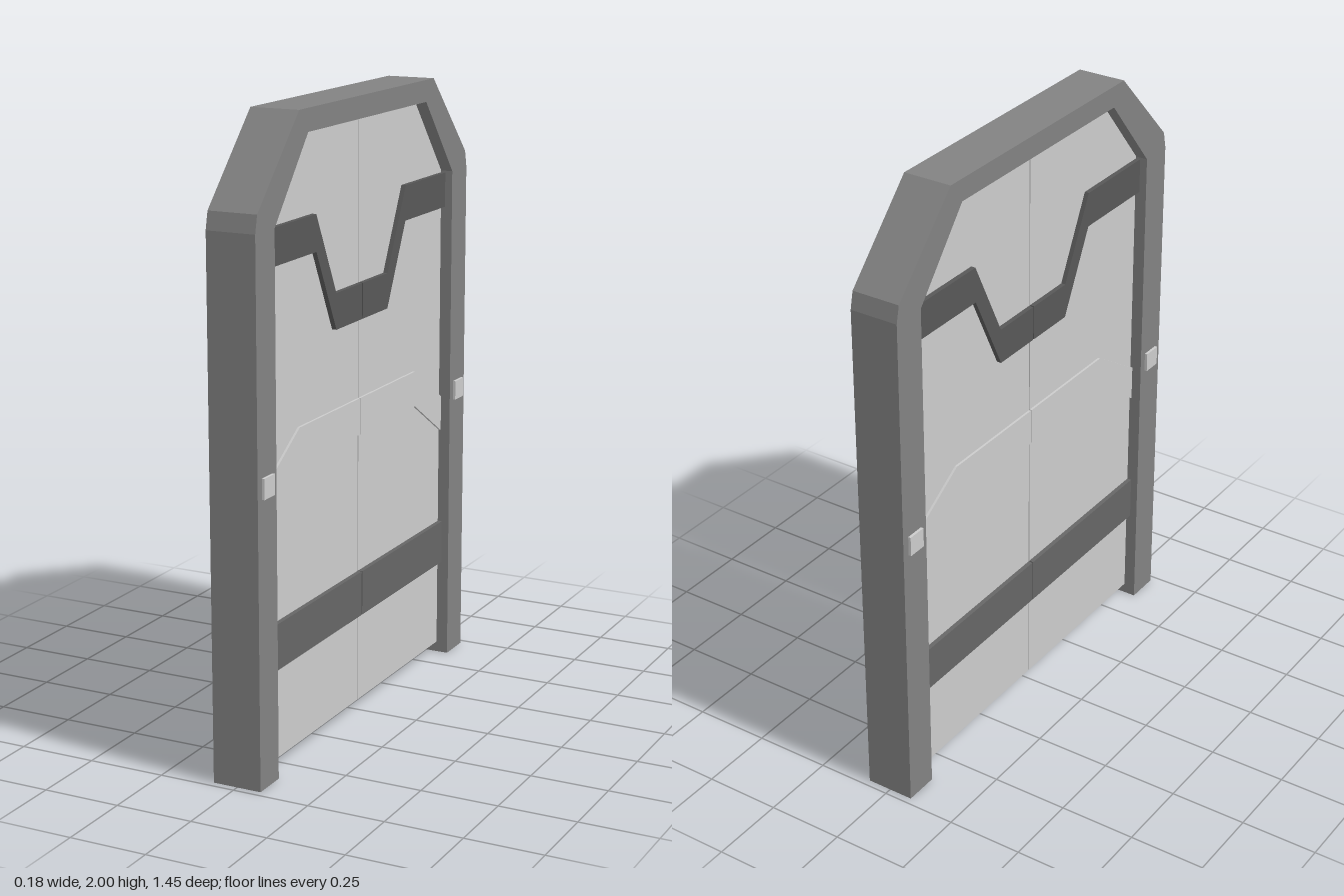
import * as THREE from 'three';

const material = (color) => new THREE.MeshStandardMaterial({ color, flatShading: true });
const panelMat = material(0xcccccc);
const frameMat = material(0x828282);
const barMat = material(0x585858);
const kickMat = material(0x666666);

// Extrudes a [z, y] outline along x, centred on x = 0
function slab(name, points, thickness, mat) {
  const shape = new THREE.Shape(points.map(([z, y]) => new THREE.Vector2(z, y)));
  const geo = new THREE.ExtrudeGeometry(shape, { depth: thickness, bevelEnabled: false });
  geo.translate(0, 0, -thickness / 2);
  geo.rotateY(-Math.PI / 2);
  const mesh = new THREE.Mesh(geo, mat);
  mesh.name = name;
  return mesh;
}

const flip = (points) => points.map(([z, y]) => [-z, y]);

// Band whose lower edge is its upper edge moved straight down
const band = (top, drop) => [...top, ...top.map(([z, y]) => [z, y - drop]).reverse()];

export function createModel() {
  const door = new THREE.Group();
  door.name = 'slidingDoor';

  // Frame: two posts joined by a chamfered arch, open at the floor
  const outer = [[0.727, 0], [0.727, 1.68], [0.715, 1.735], [0.46, 2]];
  const inner = [[0.613, 0], [0.613, 1.68], [0.405, 1.93]];
  const innerLoop = [...inner, ...flip(inner).reverse()];
  door.add(slab('frame', [...outer, ...flip(outer).reverse(), ...innerLoop.reverse()], 0.16, frameMat));

  // Each leaf is described for +z and mirrored to -z, leaving a fine seam
  const seam = 0.002;
  const edge = 0.614;
  const parts = [
    ['panel', [[seam, 0.035], [edge, 0.035], [edge, 1.68], [0.405, 1.932], [seam, 1.932]], 0.08, panelMat],
    ['upperBar', band([[seam, 1.412], [0.178, 1.412], [0.308, 1.674], [edge, 1.674]], 0.114), 0.11, barMat],
    ['middleBand', band([[seam, 1.043], [0.405, 1.043], [edge, 0.912]], 0.118), 0.095, panelMat],
    ['lowerBar', band([[seam, 0.473], [edge, 0.473]], 0.146), 0.11, kickMat],
  ];
  for (const [side, mirror] of [['left', (p) => p], ['right', flip]]) {
    const leaf = new THREE.Group();
    leaf.name = side + 'Leaf';
    for (const [name, points, thickness, mat] of parts) {
      leaf.add(slab(name, mirror(points), thickness, mat));
    }
    door.add(leaf);
  }

  // Small square buttons on both faces of both posts
  for (const z of [-0.67, 0.67]) {
    for (const x of [-0.08, 0.08]) {
      const button = new THREE.Mesh(new THREE.BoxGeometry(0.018, 0.064, 0.064), panelMat);
      button.name = 'button';
      button.position.set(x, 0.932, z);
      door.add(button);
    }
  }
  return door;
}
